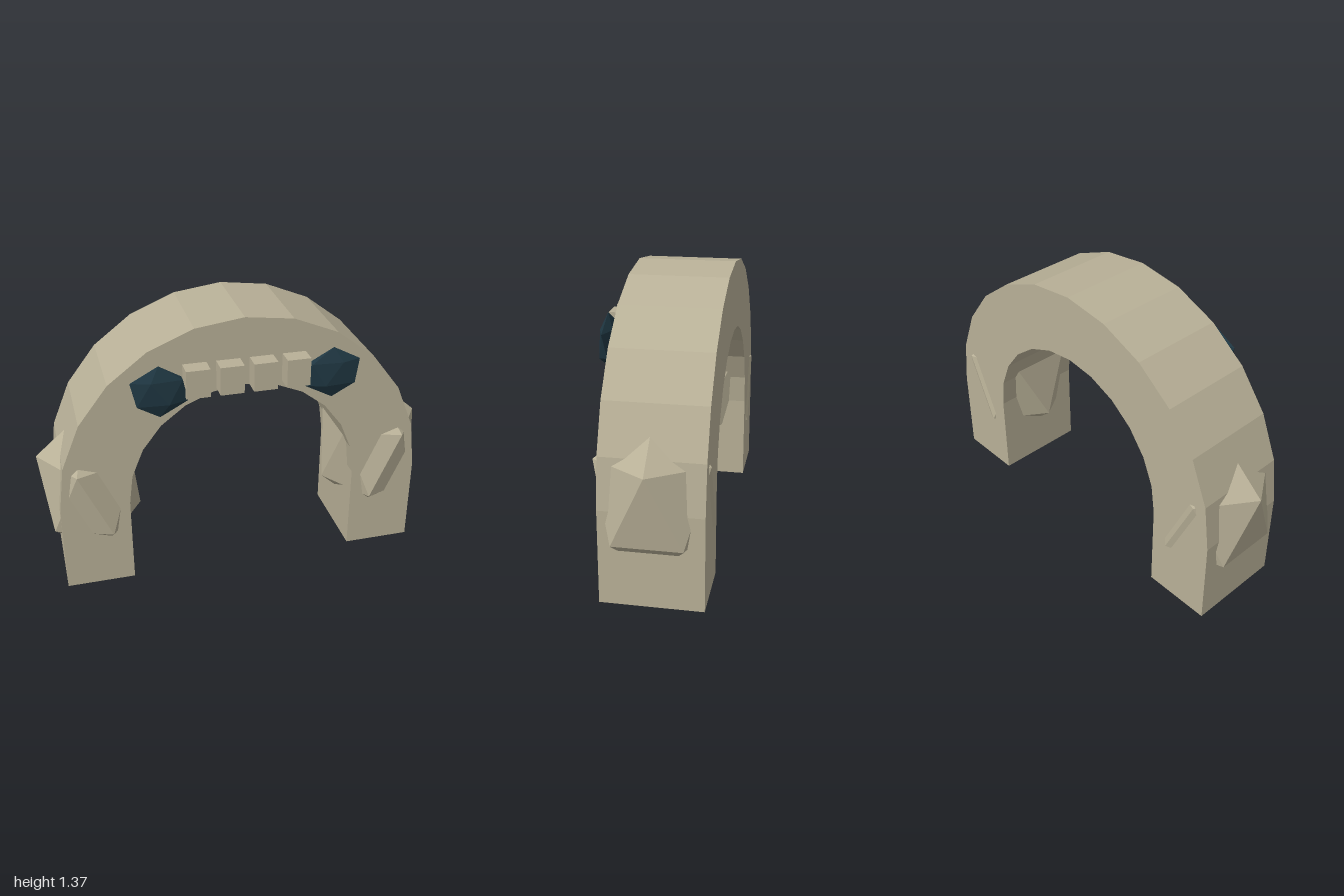
import * as THREE from 'three';

const stone = new THREE.MeshStandardMaterial({ color: 0xb8b097, flatShading: true });
stone.name = 'sandstone';
const dark = new THREE.MeshStandardMaterial({ color: 0x1f3742, flatShading: true });
dark.name = 'dark teal';

// Twenty-sided gem standing on a point, its upper ridge facing outward (side = 1 or -1)
function gem(name, material, side, size, position) {
  const geometry = new THREE.IcosahedronGeometry(1, 0);
  geometry.rotateZ(-side * Math.atan(2 / (1 + Math.sqrt(5))));
  geometry.scale(...size);
  geometry.computeVertexNormals();
  const mesh = new THREE.Mesh(geometry, material);
  mesh.name = name;
  mesh.position.set(side * position[0], position[1], position[2]);
  return mesh;
}

// Half-circle of points from angle 0 to PI, centred at the spring line
function halfCircle(radius, springY, segments) {
  return Array.from({ length: segments + 1 }, (_, i) => {
    const a = (i / segments) * Math.PI;
    return new THREE.Vector2(radius * Math.cos(a), springY + radius * Math.sin(a));
  });
}

export function createModel() {
  const model = new THREE.Group();
  model.name = 'stoneArch';

  // Arch with straight legs
  const outer = 0.92, inner = 0.58, springY = 0.45;
  const outline = [
    new THREE.Vector2(inner, 0),
    new THREE.Vector2(outer, 0),
    ...halfCircle(outer, springY, 12),
    new THREE.Vector2(-outer, 0),
    new THREE.Vector2(-inner, 0),
    ...halfCircle(inner, springY, 12).reverse(),
  ];
  const archGeometry = new THREE.ExtrudeGeometry(new THREE.Shape(outline), { depth: 0.475, bevelEnabled: false });
  archGeometry.translate(0, 0, -0.275);
  const arch = new THREE.Mesh(archGeometry, stone);
  arch.name = 'arch';
  model.add(arch);

  // Boulders poking through the legs, and the dark eyes
  for (const side of [-1, 1]) {
    const label = side > 0 ? 'left' : 'right';
    model.add(gem(label + 'Boulder', stone, side, [0.28, 0.391, 0.306], [0.75, 0.475, -0.025]));
    model.add(gem(label + 'Eye', dark, side, [0.15, 0.13, 0.035], [0.42, 1.068, 0.255]));
  }

  // Row of teeth
  for (let i = 0; i < 4; i++) {
    const tooth = new THREE.Mesh(new THREE.BoxGeometry(0.115, 0.14, 0.105), stone);
    tooth.name = 'tooth' + (i + 1);
    tooth.position.set((i - 1.5) * 0.161, 1.098, 0.2325);
    model.add(tooth);
  }

  return model;
}
